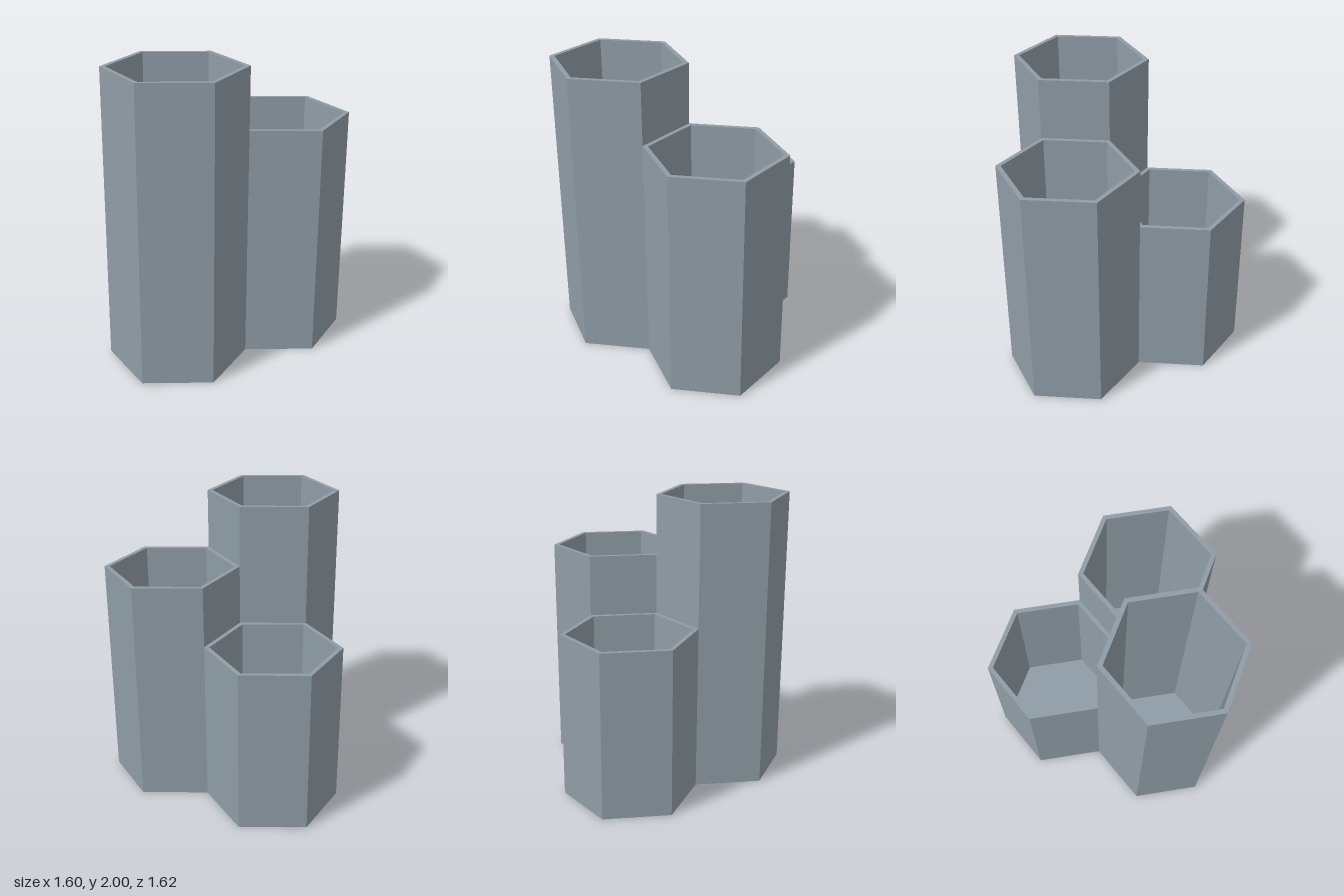
import * as THREE from 'three';

const APOTHEM = 0.4;   // half the width across flats
const WALL = 0.03;
const FLOOR = 0.03;

// Open-topped hexagonal cup with a corner pointing to +z
function hexCup(height, material) {
  const k = 2 / Math.sqrt(3);
  const outer = APOTHEM * k;
  const inner = (APOTHEM - WALL) * k;
  const profile = [
    [0, 0], [outer, 0], [outer, height],
    [inner, height], [inner, FLOOR], [0, FLOOR],
  ].map(([r, y]) => new THREE.Vector2(r, y));
  return new THREE.Mesh(new THREE.LatheGeometry(profile, 6), material);
}

export function createModel() {
  const greyBlue = new THREE.MeshStandardMaterial({ color: 0x8f9ca6 });
  greyBlue.name = 'greyBlue';
  greyBlue.flatShading = true;

  const group = new THREE.Group();
  group.name = 'hexagonalHolder';

  // Three cups sharing walls, stepped in height
  const dz = APOTHEM * Math.sqrt(3) / 2;
  const cups = [
    ['tallCup', -APOTHEM, dz, 2],
    ['middleCup', APOTHEM, dz, 1.58],
    ['shortCup', 0, -dz, 1.16],
  ];
  for (const [name, x, z, height] of cups) {
    const cup = hexCup(height, greyBlue);
    cup.name = name;
    cup.position.set(x, 0, z);
    group.add(cup);
  }
  return group;
}
